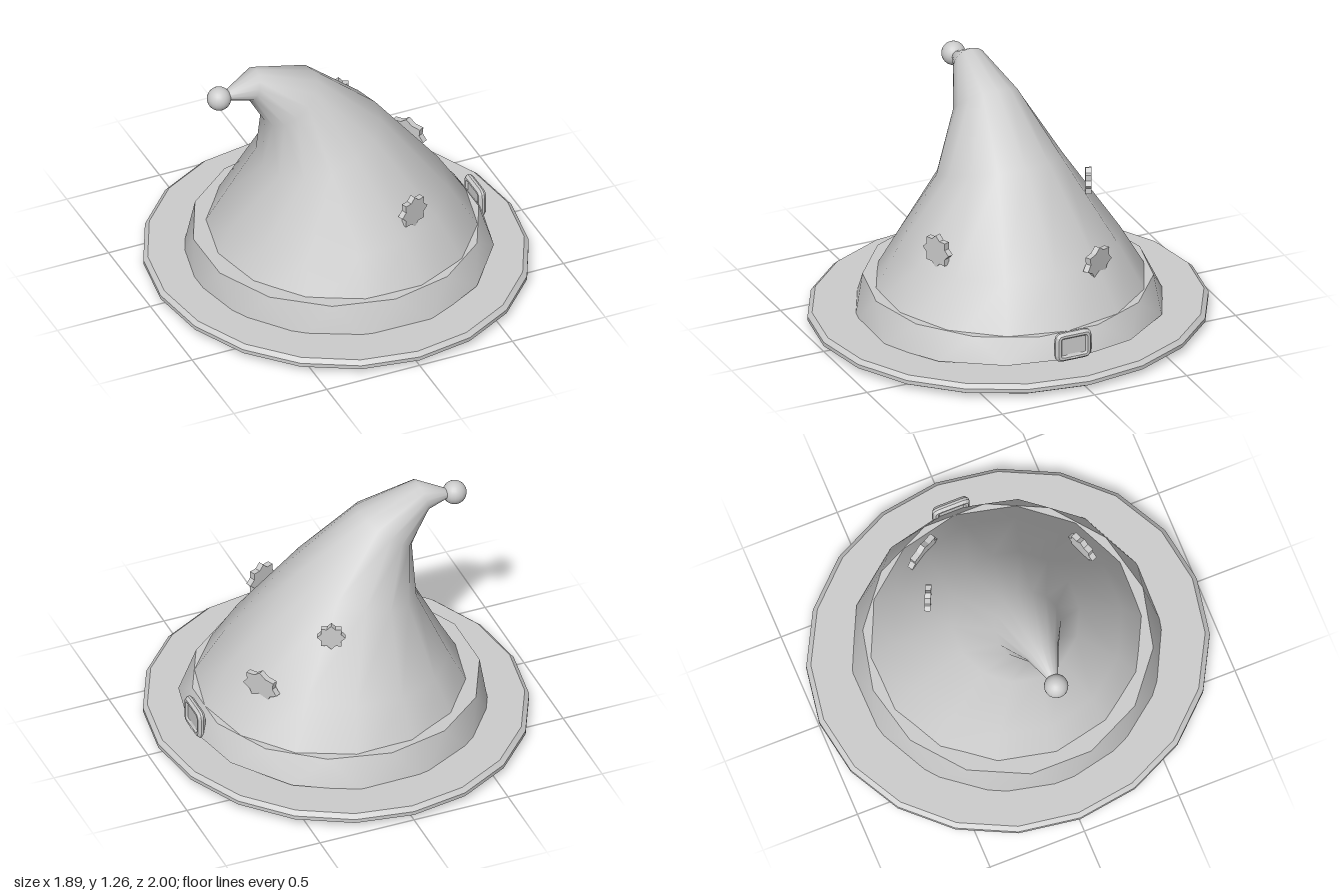
import * as THREE from 'three';
import { toCreasedNormals } from 'three/addons/utils/BufferGeometryUtils.js';

const SIDES = 14;

// Skin over tilted elliptical rings: [leftX, leftY, rightX, rightY, halfDepth, twist]
function loft(rings, capBottom, capTop) {
  const pos = [], index = [], n = SIDES;
  for (const [lx, ly, rx, ry, w, twist = 0] of rings) {
    for (let j = 0; j < n; j++) {
      const a = ((j + twist) / n) * Math.PI * 2, c = Math.cos(a);
      pos.push((lx + rx) / 2 + c * (rx - lx) / 2, (ly + ry) / 2 + c * (ry - ly) / 2, Math.sin(a) * w);
    }
  }
  for (let i = 0; i < rings.length - 1; i++) {
    for (let j = 0; j < n; j++) {
      const k = (j + 1) % n, a = i * n + j, b = i * n + k;
      index.push(a, a + n, b, a + n, b + n, b);
    }
  }
  const cap = (i, flip) => {
    const [lx, ly, rx, ry] = rings[i], c = pos.length / 3;
    pos.push((lx + rx) / 2, (ly + ry) / 2, 0);
    for (let j = 0; j < n; j++) {
      const a = i * n + j, b = i * n + (j + 1) % n;
      index.push(c, flip ? a : b, flip ? b : a);
    }
  };
  if (capBottom) cap(0, true);
  if (capTop) cap(rings.length - 1, false);
  const g = new THREE.BufferGeometry();
  g.setAttribute('position', new THREE.Float32BufferAttribute(pos, 3));
  g.setIndex(index);
  g.computeVertexNormals();
  return g;
}

function starGeometry(points, radius, thickness) {
  const s = new THREE.Shape();
  for (let i = 0; i < points * 2; i++) {
    const a = Math.PI / 2 + (i * Math.PI) / points, r = i % 2 ? radius * 0.76 : radius;
    s[i ? 'lineTo' : 'moveTo'](Math.cos(a) * r, Math.sin(a) * r);
  }
  s.closePath();
  return new THREE.ExtrudeGeometry(s, { depth: thickness, bevelEnabled: false }).translate(0, 0, -thickness / 2);
}

function roundedRect(path, w, h, r) {
  path.moveTo(-w + r, -h);
  path.lineTo(w - r, -h);
  path.quadraticCurveTo(w, -h, w, -h + r);
  path.lineTo(w, h - r);
  path.quadraticCurveTo(w, h, w - r, h);
  path.lineTo(-w + r, h);
  path.quadraticCurveTo(-w, h, -w, h - r);
  path.lineTo(-w, -h + r);
  path.quadraticCurveTo(-w, -h, -w + r, -h);
  return path;
}

export function createModel() {
  const hat = new THREE.Group();
  hat.name = 'pointedHat';
  const grey = new THREE.MeshStandardMaterial({ color: 0xcccccc });
  grey.name = 'light grey';
  const add = (name, geometry, parent = hat) => {
    const m = new THREE.Mesh(geometry, grey);
    m.name = name;
    parent.add(m);
    return m;
  };

  // Wide flat brim, slightly oval
  const profile = [[0, 0.012], [0.965, 0.012], [1, 0.03], [1, 0.05], [0.977, 0.07], [0, 0.07]]
    .map(([x, y]) => new THREE.Vector2(x, y));
  add('brim', toCreasedNormals(new THREE.LatheGeometry(profile, 20).scale(0.945, 1, 1), 0.7));

  // Crown bending over to the side
  add('crown', loft([
    [-0.72, 0.06, 0.77, 0.10, 0.75],
    [-0.555, 0.36, 0.55, 0.45, 0.565],
    [-0.40, 0.67, 0.21, 0.88, 0.32],
    [-0.385, 0.94, -0.12, 1.165, 0.17],
    [-0.475, 1.10, -0.43, 1.26, 0.085],
    [-0.61, 1.13, -0.60, 1.168, 0.02],
  ], false, true));

  // Band, its lower edge tilted and twisted half a side against the upper edge
  add('band', toCreasedNormals(loft([
    [-0.76, 0, 0.775, 0.10, 0.775],
    [-0.715, 0.215, 0.715, 0.215, 0.715, 0.5],
  ], true, true), 0.6));

  // Ball on the tip
  add('tipBall', new THREE.SphereGeometry(0.06, 20, 14)).position.set(-0.63, 1.143, 0);

  // Buckle with rounded frame and inner plate
  const buckle = new THREE.Group();
  buckle.name = 'buckle';
  const frame = roundedRect(new THREE.Shape(), 0.085, 0.065, 0.025);
  frame.holes.push(roundedRect(new THREE.Path(), 0.072, 0.053, 0.015));
  add('buckleFrame', new THREE.ExtrudeGeometry(frame, {
    depth: 0.012, bevelThickness: 0.014, bevelSize: 0.012, bevelSegments: 1, curveSegments: 3,
  }).translate(0, 0, -0.006), buckle);
  add('bucklePlate', new THREE.BoxGeometry(0.15, 0.11, 0.02), buckle);
  buckle.position.set(0.75, 0.163, 0);
  buckle.rotation.y = Math.PI / 2;
  hat.add(buckle);

  // Stars: [points, radius, height scale, position, heading]
  const stars = [
    [8, 0.087, 1, [0.2, 0.533, 0.475], Math.atan2(0.06, 0.155)],
    [7, 0.105, 0.76, [0.5, 0.455, -0.25], Math.atan2(0.17, -0.1)],
    [8, 0.07, 1, [0.172, 0.73, -0.355], Math.atan2(0.06, -0.13)],
  ];
  stars.forEach(([points, radius, tall, position, heading], i) => {
    const star = add('star' + (i + 1), starGeometry(points, radius, 0.03).scale(1, tall, 1));
    star.position.set(...position);
    star.rotation.y = heading;
  });

  return hat;
}
